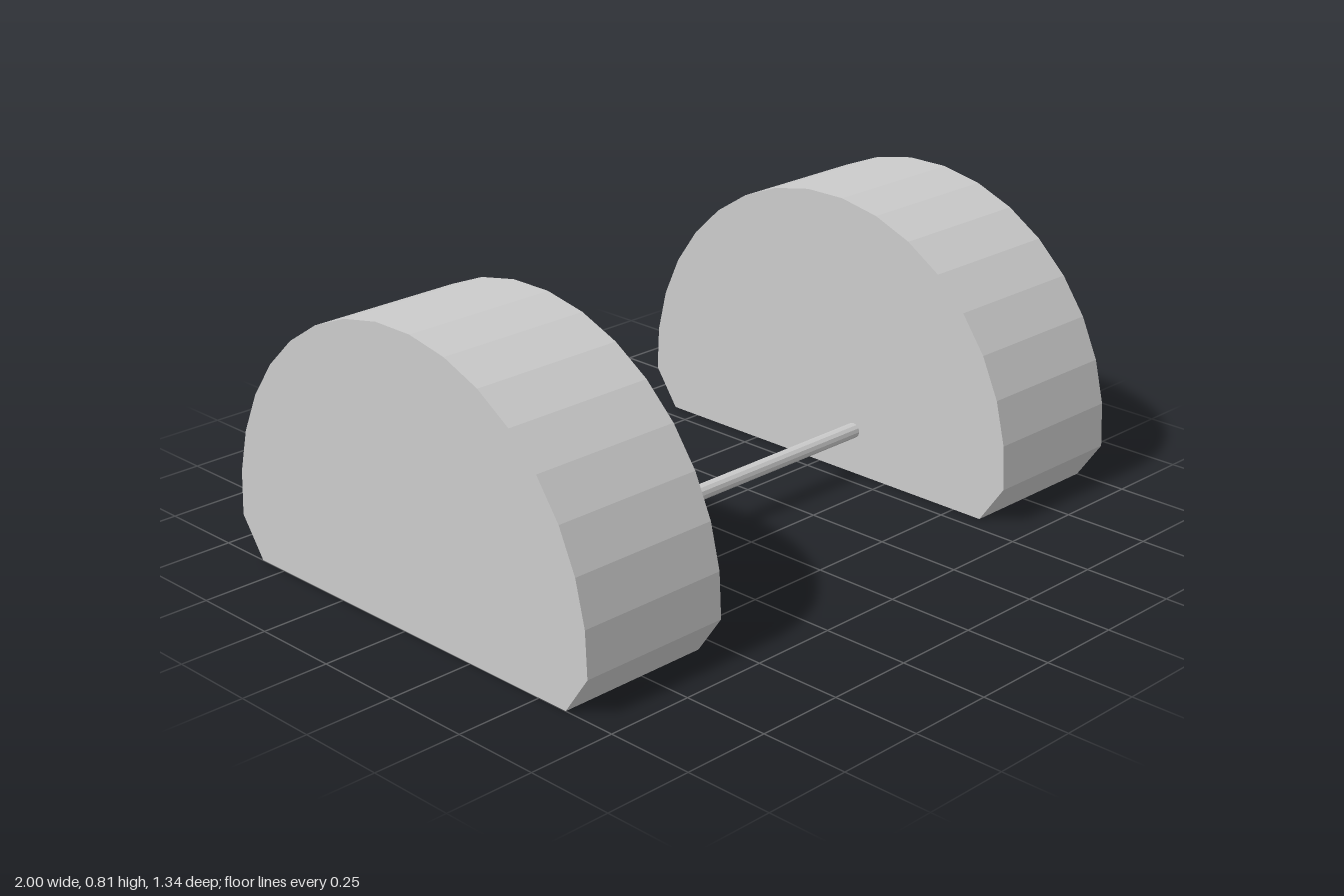
import * as THREE from 'three';

export function createModel() {
  const model = new THREE.Group();
  const material = new THREE.MeshStandardMaterial({ color: 0xcccccc, flatShading: true });

  const inner = 0.553, outer = 1;
  const radius = 0.671, centreY = 0.142, step = (Math.PI * 2) / 33;

  // Wheel outline: a 33-sided circle cut off by a flat base
  const outline = [new THREE.Vector2(0.593, 0)];
  for (let i = -8.5; i <= 8.5; i++) {
    outline.push(new THREE.Vector2(-Math.sin(i * step) * radius, centreY + Math.cos(i * step) * radius));
  }
  outline.push(new THREE.Vector2(-0.593, 0));
  const wheelGeometry = new THREE.ExtrudeGeometry(new THREE.Shape(outline), {
    depth: outer - inner, bevelEnabled: false,
  });
  wheelGeometry.rotateY(Math.PI / 2);

  // Flat-bottomed wheels on both sides
  for (const [name, x] of [['leftWheel', inner], ['rightWheel', -outer]]) {
    const wheel = new THREE.Mesh(wheelGeometry, material);
    wheel.name = name;
    wheel.position.x = x;
    model.add(wheel);
  }

  // Thin axle, set low and forward of the centre
  const axleGeometry = new THREE.CylinderGeometry(0.022, 0.022, inner * 2, 12);
  axleGeometry.rotateZ(Math.PI / 2);
  const axle = new THREE.Mesh(axleGeometry, material);
  axle.name = 'axle';
  axle.position.set(0, 0.131, 0.127);
  model.add(axle);

  return model;
}
